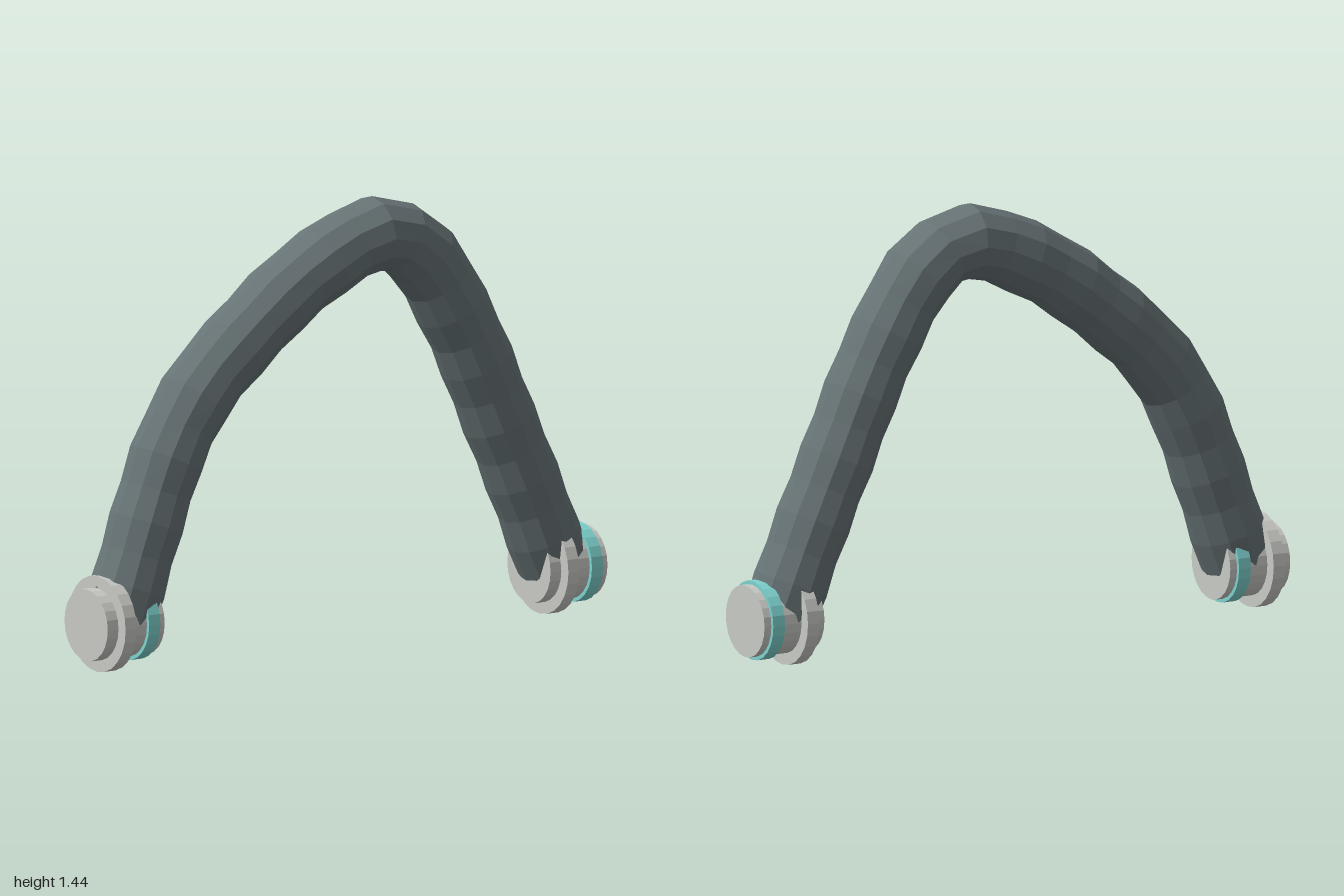
import * as THREE from 'three';

const material = (name, color) => {
  const m = new THREE.MeshStandardMaterial({ color });
  m.name = name;
  return m;
};

export function createModel() {
  const group = new THREE.Group();
  const rubber = material('dark grey rubber', 0x677375);
  const metal = material('pale grey metal', 0xc8cac5);
  const teal = material('teal', 0x7ed3cf);
  rubber.flatShading = metal.flatShading = teal.flatShading = true;
  rubber.side = THREE.DoubleSide;

  // Arched hose, its centre line lying in the x-y plane
  const path = new THREE.CatmullRomCurve3([
    [-0.87, 0.16], [-0.755, 0.48], [-0.66, 0.71], [-0.545, 0.88], [-0.37, 1.035],
    [-0.14, 1.2], [0.13, 1.315], [0.23, 1.305], [0.335, 1.235], [0.495, 0.99],
    [0.655, 0.65], [0.76, 0.42], [0.87, 0.16],
  ].map(([x, y]) => new THREE.Vector3(x, y, 0)));
  const segments = 28, sides = 12;
  const hoseGeometry = new THREE.TubeGeometry(path, segments, 0.121, sides);

  // Alternate rings swell and pinch slightly
  const pos = hoseGeometry.attributes.position;
  const p = new THREE.Vector3();
  for (let i = 0; i <= segments; i++) {
    const centre = path.getPointAt(i / segments);
    const swell = i % 2 ? 1.025 : 0.975;
    for (let j = 0; j <= sides; j++) {
      const k = i * (sides + 1) + j;
      p.fromBufferAttribute(pos, k).sub(centre).multiplyScalar(swell).add(centre);
      pos.setXYZ(k, p.x, p.y, p.z);
    }
  }
  hoseGeometry.computeVertexNormals();
  const hose = new THREE.Mesh(hoseGeometry, rubber);
  hose.name = 'hose';
  group.add(hose);

  // End fittings: drum, wide flange and coloured ring, all along x
  const disc = (name, radius, from, to, mat) => {
    const geometry = new THREE.CylinderGeometry(radius, radius, to - from, 24);
    geometry.rotateZ(Math.PI / 2).translate((from + to) / 2, 0.157, 0);
    const mesh = new THREE.Mesh(geometry, mat);
    mesh.name = name;
    return mesh;
  };
  for (const [name, x] of [['rightFitting', -1], ['leftFitting', 0.772]]) {
    const fitting = new THREE.Group();
    fitting.name = name;
    fitting.add(
      disc('drum', 0.118, 0, 0.228, metal),
      disc('flange', 0.157, 0.043, 0.087, metal),
      disc('ring', 0.13, 0.157, 0.202, teal),
    );
    fitting.position.x = x;
    group.add(fitting);
  }
  return group;
}
